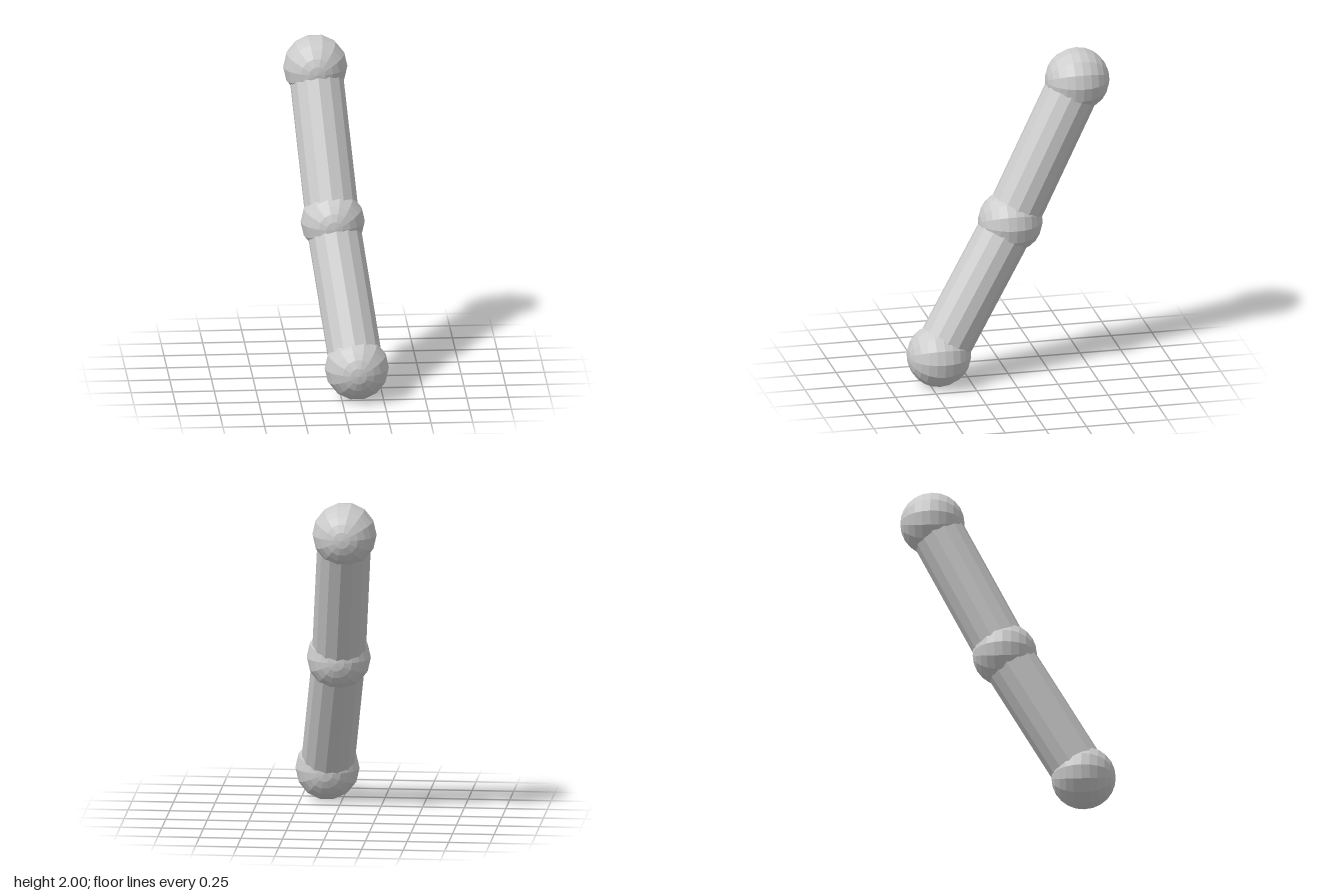
import * as THREE from 'three';

const JOINT_RADIUS = 0.193;
const TUBE_RADIUS = 0.163;
const SIDES = 14;

export function createModel() {
  const model = new THREE.Group();
  model.name = 'jointedRod';
  const material = new THREE.MeshStandardMaterial({ color: 0xcccccc, flatShading: true });

  // Joint centres from the foot to the head of the rod
  const joints = [
    ['lowerJoint', new THREE.Vector3(0.092, 0.19, 0.447)],
    ['middleJoint', new THREE.Vector3(-0.02, 0.968, -0.018)],
    ['upperJoint', new THREE.Vector3(-0.095, 1.811, -0.447)],
  ];

  // Ball joints, with their poles facing front and back
  const ball = new THREE.SphereGeometry(JOINT_RADIUS, SIDES, 12).rotateX(Math.PI / 2);
  for (const [name, centre] of joints) {
    const joint = new THREE.Mesh(ball, material);
    joint.name = name;
    joint.position.copy(centre);
    model.add(joint);
  }

  // Straight segments running between neighbouring joints
  const up = new THREE.Vector3(0, 1, 0);
  ['lowerSegment', 'upperSegment'].forEach((name, i) => {
    const start = joints[i][1];
    const end = joints[i + 1][1];
    const span = end.clone().sub(start);
    const tube = new THREE.CylinderGeometry(TUBE_RADIUS, TUBE_RADIUS, span.length(), SIDES);
    const segment = new THREE.Mesh(tube, material);
    segment.name = name;
    segment.position.copy(start).lerp(end, 0.5);
    segment.quaternion.setFromUnitVectors(up, span.normalize());
    model.add(segment);
  });

  return model;
}
